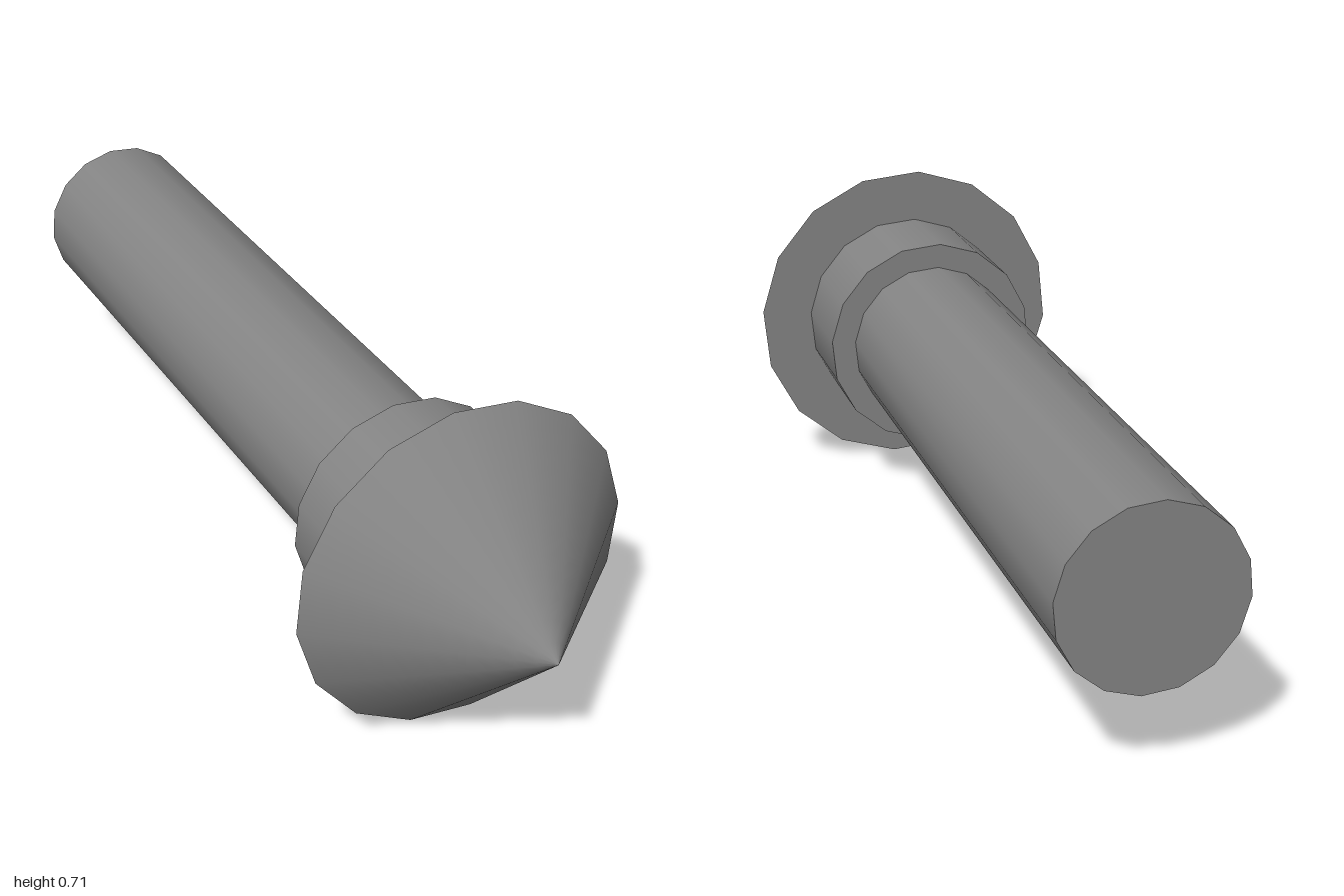
import * as THREE from 'three';

const SIDES = 16;
const AXIS_Y = 0.355;
const TWIST = THREE.MathUtils.degToRad(5.8); // corner offset shared by all sections

export function createModel() {
  const group = new THREE.Group();
  const material = new THREE.MeshStandardMaterial({ color: 0x858585 });

  // Round section lying along z, from the back end to the front end
  function addSection(name, backRadius, frontRadius, backZ, frontZ, rings = 1) {
    const geometry = new THREE.CylinderGeometry(
      frontRadius, backRadius, frontZ - backZ, SIDES, rings, false, TWIST);
    geometry.rotateX(Math.PI / 2);
    const mesh = new THREE.Mesh(geometry, material);
    mesh.name = name;
    mesh.position.set(0, AXIS_Y, (backZ + frontZ) / 2);
    group.add(mesh);
  }

  addSection('shaft', 0.183, 0.183, -1, 0.436);
  addSection('collar', 0.238, 0.238, 0.436, 0.67);
  // Extra rings keep the shading smooth towards the tip
  addSection('pointedHead', 0.355, 0, 0.67, 1, 12);

  return group;
}
